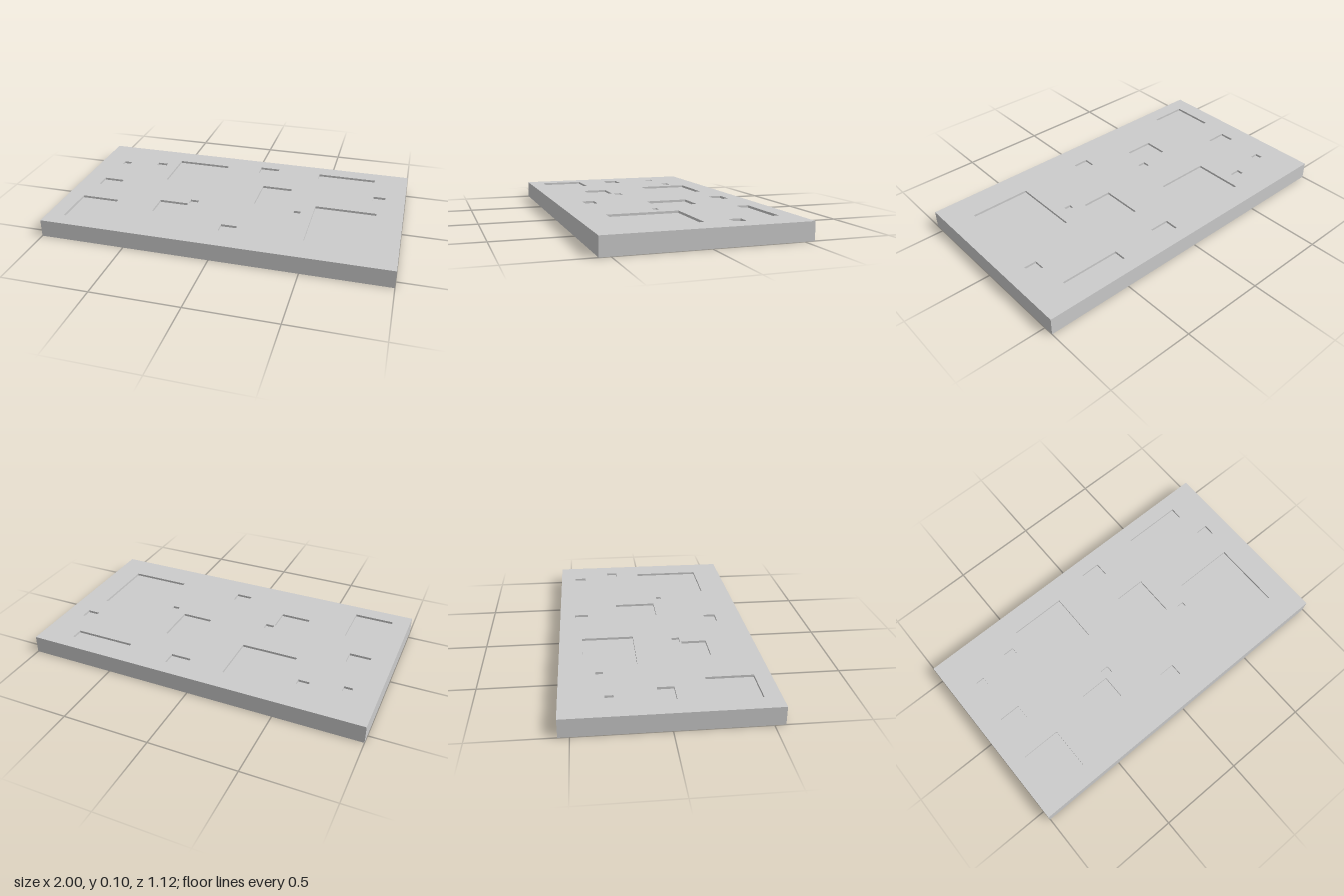
import * as THREE from 'three';

const HEIGHT = 0.102, HALF_X = 1, HALF_Z = 0.558, DEPTH = 0.013;

// Rectangular pockets sunk into the top: [xMin, xMax, zMin, zMax]
const POCKETS = [
  [-0.9, -0.672, 0.208, 0.467],
  [-0.875, -0.75, -0.055, 0.035],
  [-0.855, -0.805, -0.323, -0.279],
  [-0.627, -0.562, -0.362, -0.322],
  [-0.488, -0.157, -0.428, -0.132],
  [-0.425, -0.25, 0.141, 0.283],
  [-0.249, -0.198, 0.09, 0.134],
  [0.01, 0.104, 0.33, 0.4],
  [0.058, 0.178, -0.468, -0.386],
  [0.13, 0.313, -0.205, 0.038],
  [0.378, 0.418, 0.066, 0.094],
  [0.49, 0.848, -0.023, 0.384],
  [0.445, 0.8, -0.464, -0.392],
  [0.811, 0.883, -0.237, -0.17],
];

// Box without its top face; turned inside out for a pocket
function openBox([x0, x1, z0, z1], y0, y1, inward) {
  const geometry = new THREE.BoxGeometry(x1 - x0, y1 - y0, z1 - z0);
  const index = Array.from(geometry.index.array);
  index.splice(12, 6);
  if (inward) {
    index.reverse();
    const normal = geometry.attributes.normal;
    for (let i = 0; i < normal.array.length; i++) normal.array[i] *= -1;
  }
  geometry.setIndex(index);
  geometry.clearGroups();
  return geometry.translate((x0 + x1) / 2, (y0 + y1) / 2, (z0 + z1) / 2);
}

// Rectangle outline in the shape plane, where y stands for -z
function outline(path, [x0, x1, z0, z1]) {
  path.moveTo(x0, -z1);
  path.lineTo(x1, -z1);
  path.lineTo(x1, -z0);
  path.lineTo(x0, -z0);
  path.closePath();
  return path;
}

export function createModel() {
  const group = new THREE.Group();
  group.name = 'pocketedPanel';
  const material = new THREE.MeshStandardMaterial({ color: 0xcccccc });
  const add = (name, geometry, parent = group) => {
    const mesh = new THREE.Mesh(geometry, material);
    mesh.name = name;
    parent.add(mesh);
  };

  const bounds = [-HALF_X, HALF_X, -HALF_Z, HALF_Z];

  // Sides and underside of the slab
  add('slabSides', openBox(bounds, 0, HEIGHT, false));

  // Top face, cut open above every pocket
  const face = outline(new THREE.Shape(), bounds);
  face.holes = POCKETS.map((rect) => outline(new THREE.Path(), rect));
  const top = new THREE.ShapeGeometry(face);
  top.rotateX(-Math.PI / 2).translate(0, HEIGHT, 0);
  add('slabTop', top);

  // Walls and floors of the pockets
  const pockets = new THREE.Group();
  pockets.name = 'pockets';
  group.add(pockets);
  POCKETS.forEach((rect, i) => {
    add(`pocket${i + 1}`, openBox(rect, HEIGHT - DEPTH, HEIGHT, true), pockets);
  });

  return group;
}
